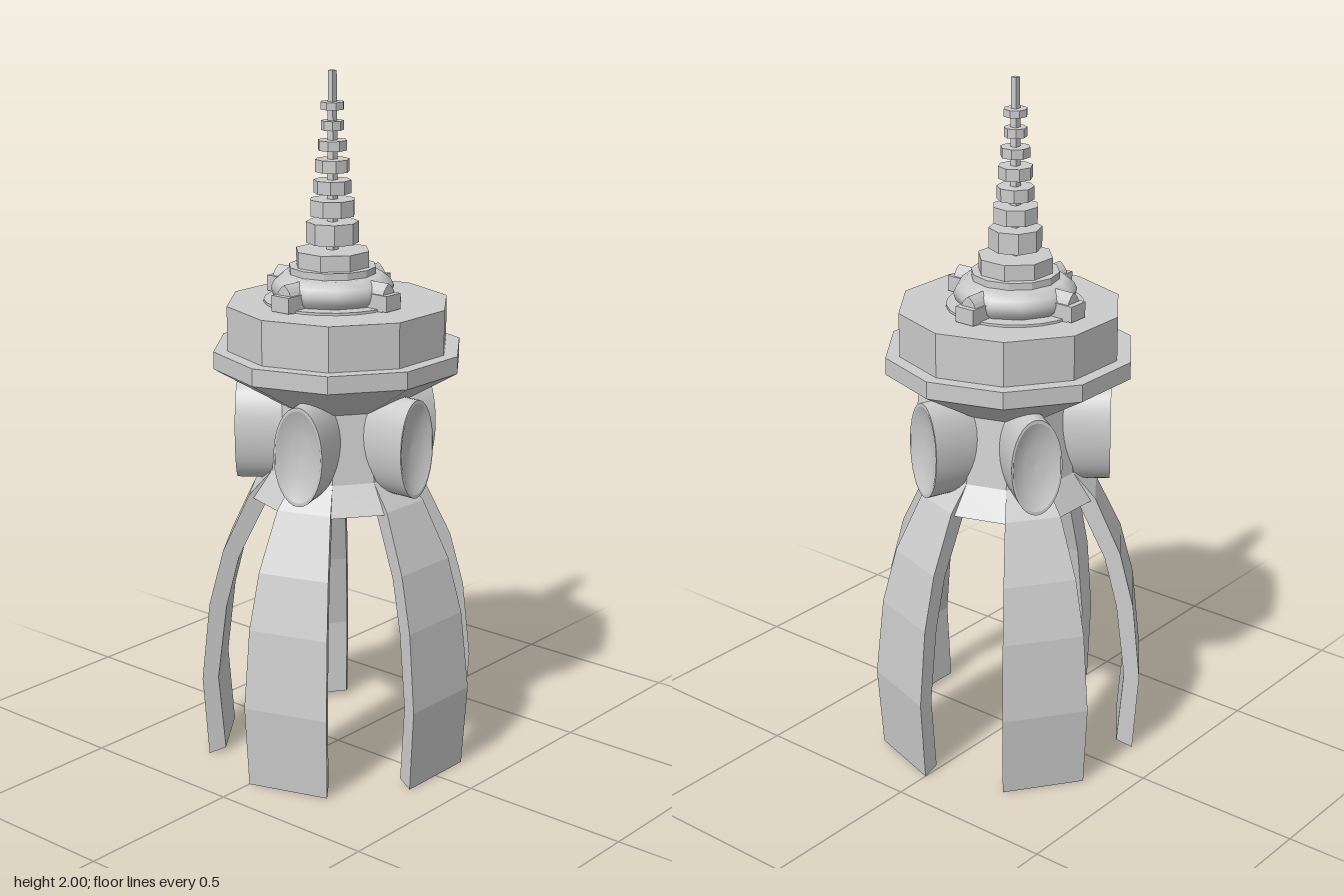
import * as THREE from 'three';

const TURN = Math.PI * 2;
const flat = new THREE.MeshStandardMaterial({ color: 0xcccccc, flatShading: true });
const smooth = new THREE.MeshStandardMaterial({ color: 0xcccccc, side: THREE.DoubleSide });

function addMesh(parent, name, geometry, material = flat) {
  const mesh = new THREE.Mesh(geometry, material);
  mesh.name = name;
  parent.add(mesh);
  return mesh;
}

// Turned solid from [radius, height] pairs, listed bottom to top
function turned(profile, sides, start = 0) {
  return new THREE.LatheGeometry(profile.map(([r, y]) => new THREE.Vector2(r, y)), sides, start);
}

// One curved leg: a 36 degree slice of a ten-sided shell facing +z
function legGeometry() {
  // outer distance, outer height, inner distance, inner height
  const sections = [
    [0.185, 0.865, 0.12, 0.81], [0.25, 0.795, 0.2, 0.775], [0.325, 0.63, 0.28, 0.61],
    [0.365, 0.47, 0.317, 0.46], [0.388, 0.24, 0.343, 0.24], [0.372, 0, 0.325, 0.015],
  ];
  const t = Math.tan(Math.PI / 10);
  const positions = [];
  const index = [];
  for (const [o, yo, i, yi] of sections) {
    positions.push(-o * t, yo, o, o * t, yo, o, i * t, yi, i, -i * t, yi, i);
  }
  for (let s = 0; s < sections.length - 1; s++) {
    for (let k = 0; k < 4; k++) {
      const a = s * 4 + k, b = s * 4 + (k + 1) % 4;
      index.push(a, a + 4, b, b, a + 4, b + 4);
    }
  }
  const e = (sections.length - 1) * 4;
  index.push(0, 1, 2, 0, 2, 3, e, e + 2, e + 1, e, e + 3, e + 2);
  const g = new THREE.BufferGeometry();
  g.setAttribute('position', new THREE.Float32BufferAttribute(positions, 3));
  g.setIndex(index);
  const result = g.toNonIndexed();
  result.computeVertexNormals();
  return result;
}

// Oval porthole facing +z: a barrel wall and a shallow dished face
function porthole() {
  const group = new THREE.Group();
  const parts = {
    portholeBarrel: [[1, 0.12], [1, 0.29]],
    portholeRim: [[1, 0.29], [0.93, 0.29]],
    portholeDish: [[0.93, 0.29], [0.7, 0.278], [0.4, 0.27], [0, 0.267]],
  };
  for (const [name, profile] of Object.entries(parts)) {
    const g = turned(profile, 32);
    g.rotateX(Math.PI / 2);
    g.scale(0.073, 0.143, 1);
    addMesh(group, name, g, smooth);
  }
  group.position.y = 0.97;
  return group;
}

// Small arched dormer facing +z with a lower sill in front
function dormer() {
  const group = new THREE.Group();
  const arch = new THREE.Shape();
  arch.moveTo(-0.03, 0);
  arch.lineTo(0.03, 0);
  arch.lineTo(0.03, 0.035);
  arch.quadraticCurveTo(0.024, 0.065, 0, 0.08);
  arch.quadraticCurveTo(-0.024, 0.065, -0.03, 0.035);
  const g = new THREE.ExtrudeGeometry(arch, { depth: 0.07, bevelEnabled: false, curveSegments: 4 });
  g.translate(0, 1.35, 0.135);
  addMesh(group, 'dormerArch', g);
  const sill = addMesh(group, 'dormerSill', new THREE.BoxGeometry(0.062, 0.045, 0.06));
  sill.position.set(0, 1.378, 0.192);
  return group;
}

export function createModel() {
  const model = new THREE.Group();
  model.name = 'tower';

  // Ten-sided neck and cap
  const start = Math.PI / 10;
  addMesh(model, 'neck', turned([[0, 0.785], [0.25, 0.785], [0.195, 0.865], [0.165, 1.08]], 10, start));
  addMesh(model, 'cap', turned([
    [0, 1.06], [0.165, 1.06], [0.36, 1.175], [0.36, 1.225], [0.32, 1.225], [0.32, 1.353], [0, 1.353],
  ], 10, start));

  // Five legs, each with a porthole above it
  const leg = legGeometry();
  for (let i = 0; i < 5; i++) {
    const angle = (i * TURN) / 5;
    addMesh(model, 'leg', leg).rotation.y = angle;
    const window = porthole();
    window.name = 'porthole';
    window.rotation.y = angle;
    model.add(window);
  }

  // Crown group sits slightly behind the centre
  const crown = new THREE.Group();
  crown.name = 'crown';
  crown.position.set(-0.005, 0, -0.016);
  model.add(crown);
  addMesh(crown, 'domeBase', turned([[0.195, 1.35], [0.195, 1.36], [0, 1.36]], 24));
  addMesh(crown, 'dome', turned([
    [0.15, 1.355], [0.168, 1.372], [0.175, 1.395], [0.165, 1.415], [0.14, 1.435], [0, 1.44],
  ], 12, Math.PI / 12), smooth);
  for (let i = 0; i < 4; i++) {
    const d = dormer();
    d.name = 'dormer';
    d.rotation.y = (i * TURN) / 4;
    crown.add(d);
  }
  addMesh(crown, 'lowerCollar', turned([[0.125, 1.43], [0.125, 1.455], [0, 1.455]], 12));
  addMesh(crown, 'upperCollar', turned([[0.108, 1.45], [0.108, 1.5], [0, 1.5]], 8, Math.PI / 8));

  // Spire: stacked rings on a square pole (radius, bottom, top)
  const rings = [
    [0.075, 1.52, 1.58], [0.066, 1.597, 1.643], [0.053, 1.66, 1.697], [0.049, 1.72, 1.755],
    [0.042, 1.78, 1.808], [0.032, 1.836, 1.862], [0.034, 1.893, 1.914],
  ];
  rings.forEach(([r, y0, y1], i) => {
    const ring = addMesh(crown, 'spireRing', new THREE.CylinderGeometry(r, r, y1 - y0, 8));
    ring.position.y = (y0 + y1) / 2;
    ring.rotation.y = i * 0.3;
  });
  const pole = addMesh(crown, 'spirePole', new THREE.CylinderGeometry(0.012, 0.017, 0.52, 4));
  pole.position.y = 1.74;
  pole.rotation.y = Math.PI / 4;
  return model;
}
